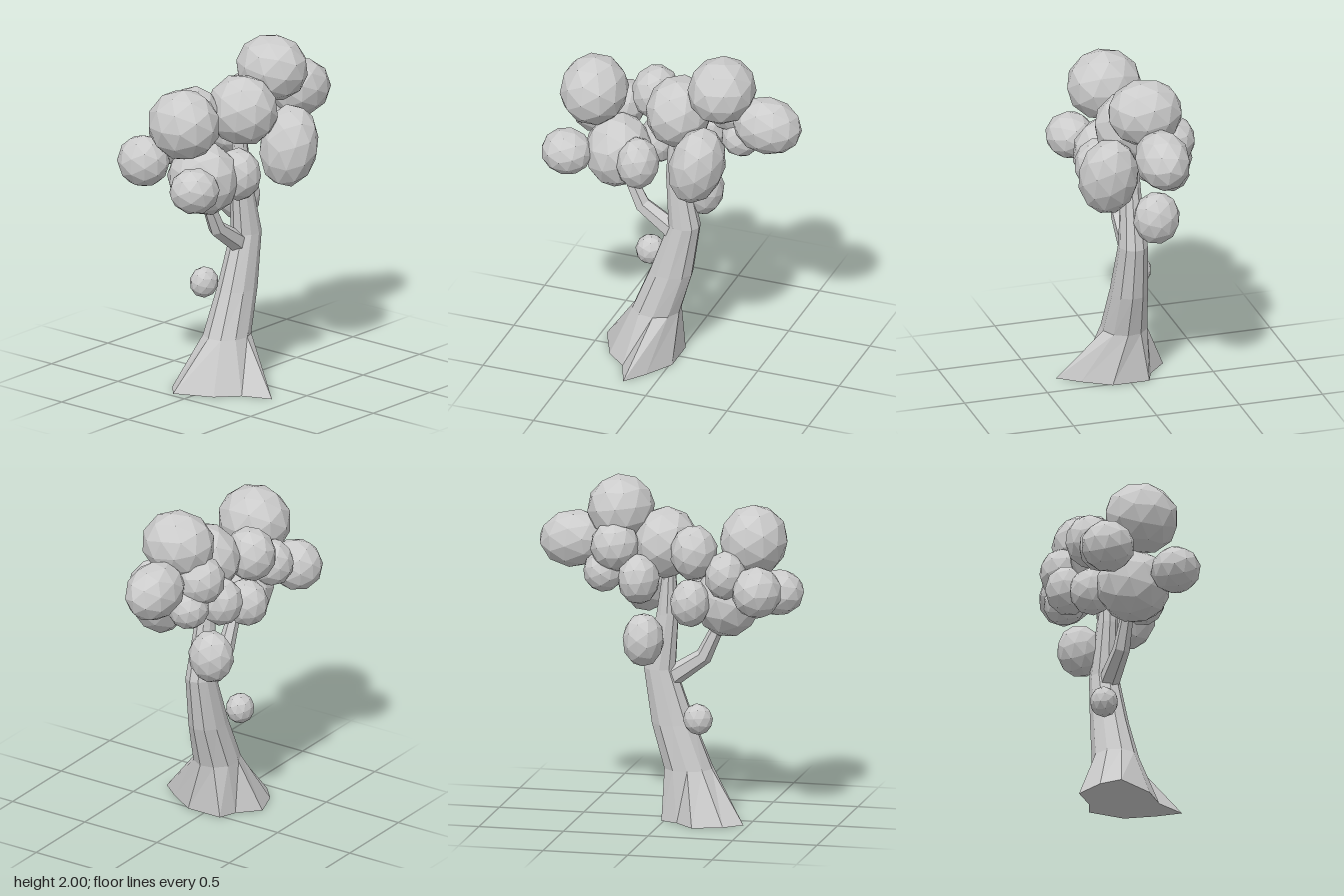
import * as THREE from 'three';

const material = new THREE.MeshStandardMaterial({ color: 0xcccccc, flatShading: true });

// Skin a stack of rings (arrays of Vector3, counterclockwise seen from the tip), capped at both ends
function loft(rings) {
  const out = [];
  const tri = (...pts) => pts.forEach((p) => out.push(p.x, p.y, p.z));
  const centre = (ring) =>
    ring.reduce((s, p) => s.add(p), new THREE.Vector3()).divideScalar(ring.length);
  const n = rings[0].length;
  const last = rings.length - 1;
  const bottom = centre(rings[0]);
  const top = centre(rings[last]);
  for (let i = 0; i < n; i++) {
    const j = (i + 1) % n;
    for (let k = 0; k < last; k++) {
      const a = rings[k], b = rings[k + 1];
      tri(a[i], a[j], b[j]);
      tri(a[i], b[j], b[i]);
    }
    tri(bottom, rings[0][j], rings[0][i]);
    tri(top, rings[last][i], rings[last][j]);
  }
  const geo = new THREE.BufferGeometry();
  geo.setAttribute('position', new THREE.Float32BufferAttribute(out, 3));
  geo.computeVertexNormals();
  return geo;
}

function addMesh(parent, geometry, name) {
  const mesh = new THREE.Mesh(geometry, material);
  mesh.name = name;
  parent.add(mesh);
  return mesh;
}

// Trunk: uneven root footprint rising into a leaning, tapering stem
function trunkGeometry() {
  const roots = [
    [-0.47, -0.11], [-0.37, 0.11], [-0.25, 0.22], [-0.18, 0.39], [-0.085, 0.27],
    [0.015, 0.11], [0.015, -0.11], [-0.085, -0.15], [-0.2, -0.26], [-0.37, -0.2],
  ];
  const rings = [roots.map(([x, z]) => new THREE.Vector3(x, 0, z))];
  // y, centre x, radius along x, radius along z
  const levels = [
    [0.3, -0.12, 0.145, 0.135],
    [0.56, -0.03, 0.13, 0.108],
    [0.88, 0.05, 0.095, 0.085],
    [1.2, 0.005, 0.066, 0.06],
    [1.42, -0.005, 0.042, 0.048],
    [1.6, 0.0, 0.03, 0.035],
  ];
  for (const [y, cx, rx, rz] of levels) {
    rings.push(roots.map((_, i) => {
      const a = Math.PI * (1.05 - i / 5);
      return new THREE.Vector3(cx + rx * Math.cos(a), y, rz * Math.sin(a));
    }));
  }
  return loft(rings);
}

// Branch: six-sided tube bending in the xy plane; points are x, y, radius
function branchGeometry(path) {
  const points = path.map(([x, y]) => new THREE.Vector3(x, y, 0));
  const axis = new THREE.Vector3(0, 0, 1);
  return loft(path.map(([, , r], k) => {
    const before = points[Math.max(k - 1, 0)];
    const after = points[Math.min(k + 1, points.length - 1)];
    const u = axis.clone().cross(after.clone().sub(before).normalize());
    return Array.from({ length: 6 }, (_, i) => {
      const a = (i * Math.PI) / 3;
      return points[k].clone()
        .addScaledVector(u, r * Math.cos(a))
        .addScaledVector(axis, r * Math.sin(a));
    });
  }));
}

// Foliage clumps: x, y, z, radius x, radius y, radius z, tilt
const clumps = [
  [-0.505, 1.66, 0, 0.195, 0.205, 0.217, 0],
  [0.28, 1.81, 0, 0.192, 0.192, 0.217, 0],
  [0.015, 1.62, 0, 0.188, 0.205, 0.217, 0],
  [0.55, 1.62, -0.02, 0.205, 0.165, 0.155, -0.1],
  [-0.35, 1.3, 0.015, 0.192, 0.215, 0.215, 0],
  [0.2, 1.4, 0.195, 0.158, 0.24, 0.175, -0.25],
  [-0.61, 1.32, 0.17, 0.148, 0.132, 0.142, -0.1],
  [-0.185, 1.31, 0.14, 0.122, 0.153, 0.135, 0],
  [-0.195, 1.61, -0.18, 0.135, 0.16, 0.153, 0],
  [-0.58, 1.41, -0.24, 0.142, 0.15, 0.155, 0],
  [-0.385, 1.49, -0.2, 0.118, 0.14, 0.13, 0],
  [-0.17, 1.31, -0.17, 0.115, 0.14, 0.13, 0],
  [0.13, 1.44, -0.19, 0.12, 0.145, 0.135, 0],
  [0.28, 1.62, -0.155, 0.14, 0.145, 0.14, 0],
  [0.355, 1.46, -0.12, 0.115, 0.12, 0.12, 0],
  [0.12, 1.065, -0.12, 0.118, 0.155, 0.135, 0],
  [-0.2, 0.61, -0.105, 0.085, 0.09, 0.08, -0.3],
];

export function createModel() {
  const tree = new THREE.Group();
  tree.name = 'tree';

  addMesh(tree, trunkGeometry(), 'trunk');
  addMesh(tree, branchGeometry([
    [0.07, 0.74, 0.06], [-0.05, 0.85, 0.06], [-0.21, 0.96, 0.05],
    [-0.29, 1.13, 0.038], [-0.33, 1.3, 0.03],
  ]), 'sideBranch');

  const foliage = new THREE.Group();
  foliage.name = 'foliage';
  tree.add(foliage);
  const ball = new THREE.IcosahedronGeometry(1.02, 1);
  clumps.forEach(([x, y, z, rx, ry, rz, tilt], i) => {
    // Spin the facets before stretching so the clumps differ
    const geo = ball.clone().rotateY(i * 1.3).rotateX(i * 0.7).scale(rx, ry, rz);
    geo.computeVertexNormals();
    const clump = addMesh(foliage, geo, `leafClump${i + 1}`);
    clump.position.set(x, y, z);
    clump.rotation.z = tilt;
  });
  return tree;
}
